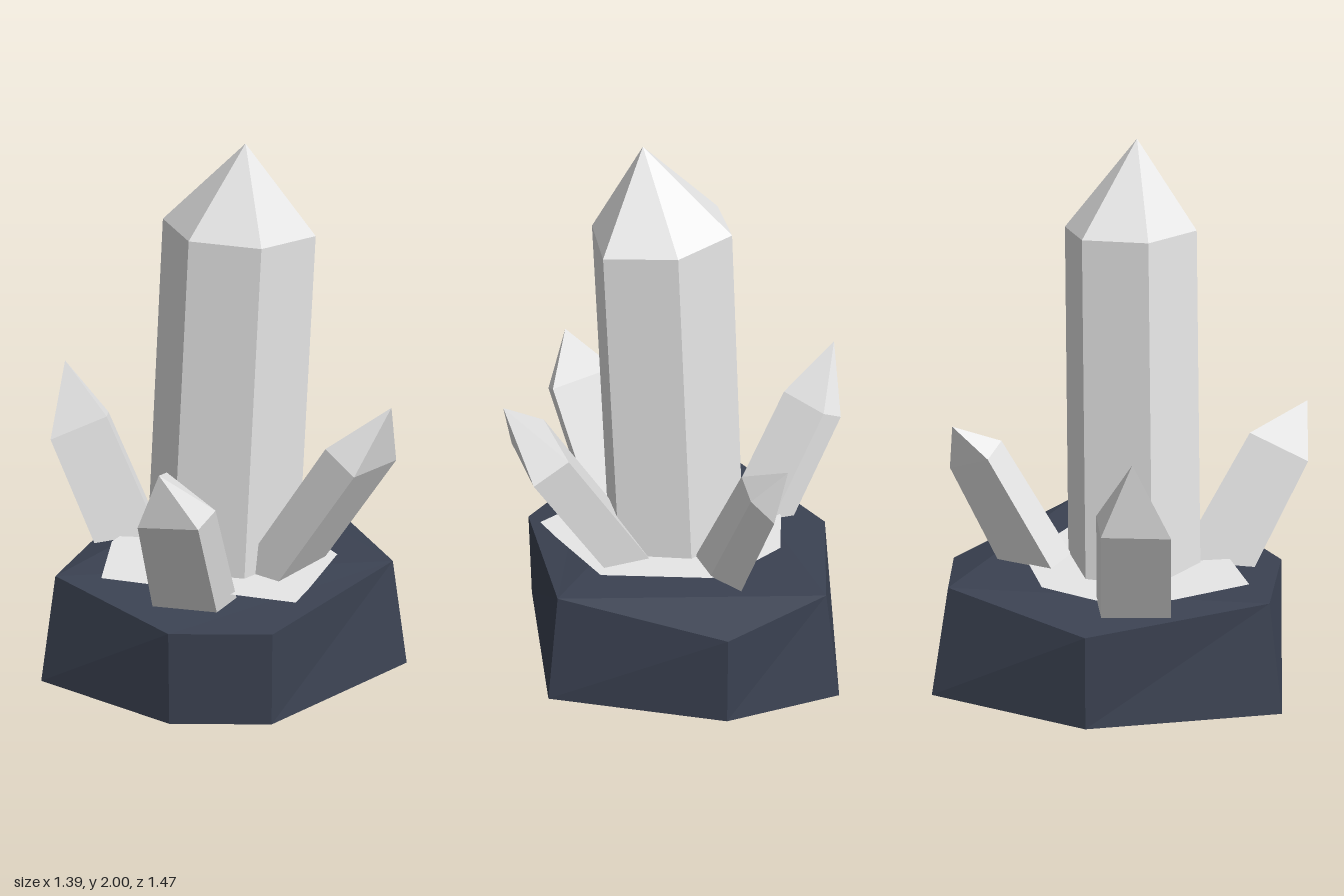
import * as THREE from 'three';

const crystalMat = new THREE.MeshStandardMaterial({ color: 0xe9e9e9, flatShading: true });
crystalMat.name = 'pale crystal';
const rockMat = new THREE.MeshStandardMaterial({ color: 0x3b4252, flatShading: true, side: THREE.DoubleSide });
rockMat.name = 'dark slate';

// Faceted mesh from points and triangle corners
function facetMesh(name, points, index, material) {
  const indexed = new THREE.BufferGeometry().setFromPoints(points);
  indexed.setIndex(index);
  const geometry = indexed.toNonIndexed();
  geometry.computeVertexNormals();
  const mesh = new THREE.Mesh(geometry, material);
  mesh.name = name;
  return mesh;
}

// Side walls between two rings of n points stored one after the other
function wallIndex(n) {
  const index = [];
  for (let i = 0; i < n; i++) {
    const j = (i + 1) % n;
    index.push(i, n + i, j, j, n + i, n + j);
  }
  return index;
}

// Leaning prism from a foot to a shoulder, closed by an off-centre point.
// The section lists [x, z] corners across the leaning axis.
function crystal(name, foot, shoulder, tip, footScale, section) {
  const a = new THREE.Vector3(...foot);
  const b = new THREE.Vector3(...shoulder);
  const turn = new THREE.Quaternion().setFromUnitVectors(
    new THREE.Vector3(0, 1, 0), b.clone().sub(a).normalize());
  const ring = (centre, scale) => section.map(([x, z]) =>
    new THREE.Vector3(x * scale, 0, z * scale).applyQuaternion(turn).add(centre));
  const n = section.length;
  const points = [...ring(a, footScale), ...ring(b, 1), a, new THREE.Vector3(...tip)];
  const index = wallIndex(n);
  for (let i = 0; i < n; i++) {
    const j = (i + 1) % n;
    index.push(2 * n, i, j, n + i, 2 * n + 1, n + j);
  }
  return facetMesh(name, points, index, crystalMat);
}

// Hollow seven-sided rock, open underneath
function rockBase() {
  const bottom = [[0.695, -0.02], [0.31, 0.56], [-0.045, 0.65], [-0.595, 0.47],
    [-0.525, -0.25], [-0.12, -0.735], [0.295, -0.565]];
  const top = [[0.63, 0.42, -0.015], [0.31, 0.36, 0.56], [-0.045, 0.36, 0.65], [-0.54, 0.42, 0.43],
    [-0.525, 0.36, -0.25], [-0.107, 0.42, -0.66], [0.295, 0.36, -0.565]];
  const points = [
    ...bottom.map(([x, z]) => new THREE.Vector3(x, 0, z)),
    ...top.map((p) => new THREE.Vector3(...p)),
  ];
  const index = wallIndex(7);
  // Level middle triangle with bevelled corners
  const cap = [0, 5, 3, 0, 2, 1, 0, 3, 2, 3, 5, 4, 5, 0, 6];
  index.push(...cap.map((i) => i + 7));
  return facetMesh('rockBase', points, index, rockMat);
}

// Thin pale sheet on the rock, from which the crystals grow
function crystalBed() {
  const outline = [[0.42, -0.01], [0.38, 0.31], [0.36, 0.42], [-0.37, 0.41], [-0.43, 0.1],
    [-0.36, -0.17], [-0.2, -0.33], [0.06, -0.33], [0.13, -0.3]];
  const points = outline.map(([x, z]) => new THREE.Vector3(x, 0.424, z));
  const index = [];
  for (let i = 1; i < outline.length - 1; i++) index.push(0, i + 1, i);
  return facetMesh('crystalBed', points, index, crystalMat);
}

export function createModel() {
  const model = new THREE.Group();
  model.name = 'crystalCluster';
  model.add(
    rockBase(),
    crystalBed(),
    crystal('mainCrystal', [-0.022, 0.2, 0.06], [0.05, 1.683, 0.06], [0.09, 2, 0.105], 1.06,
      [[0.28, -0.015], [0.14, 0.21], [-0.115, 0.225], [-0.275, 0], [-0.15, -0.207], [0.105, -0.207]]),
    crystal('frontCrystal', [-0.015, 0.25, 0.27], [-0.01, 0.85, 0.6], [-0.045, 1, 0.735], 1.15,
      [[0.13, 0.02], [0.09, 0.11], [-0.12, 0.13], [-0.08, -0.12]]),
    crystal('leftCrystal', [0.14, 0.25, 0.09], [0.54, 0.915, 0.18], [0.65, 1.125, 0.23], 1,
      [[0.12, -0.1], [0.01, 0.155], [-0.125, 0.1], [-0.02, -0.16]]),
    crystal('rightCrystal', [-0.305, 0.25, 0], [-0.585, 0.82, -0.08], [-0.675, 1.055, -0.12], 1.05,
      [[0.11, 0.04], [-0.12, 0.09], [-0.05, -0.14], [0.05, -0.13]]),
    crystal('backCrystal', [0.03, 0.25, -0.2], [0.06, 0.855, -0.5], [0.05, 0.985, -0.6], 1.25,
      [[0.07, 0], [0.03, 0.1], [-0.07, 0.02], [0.055, -0.114]]),
  );
  return model;
}
